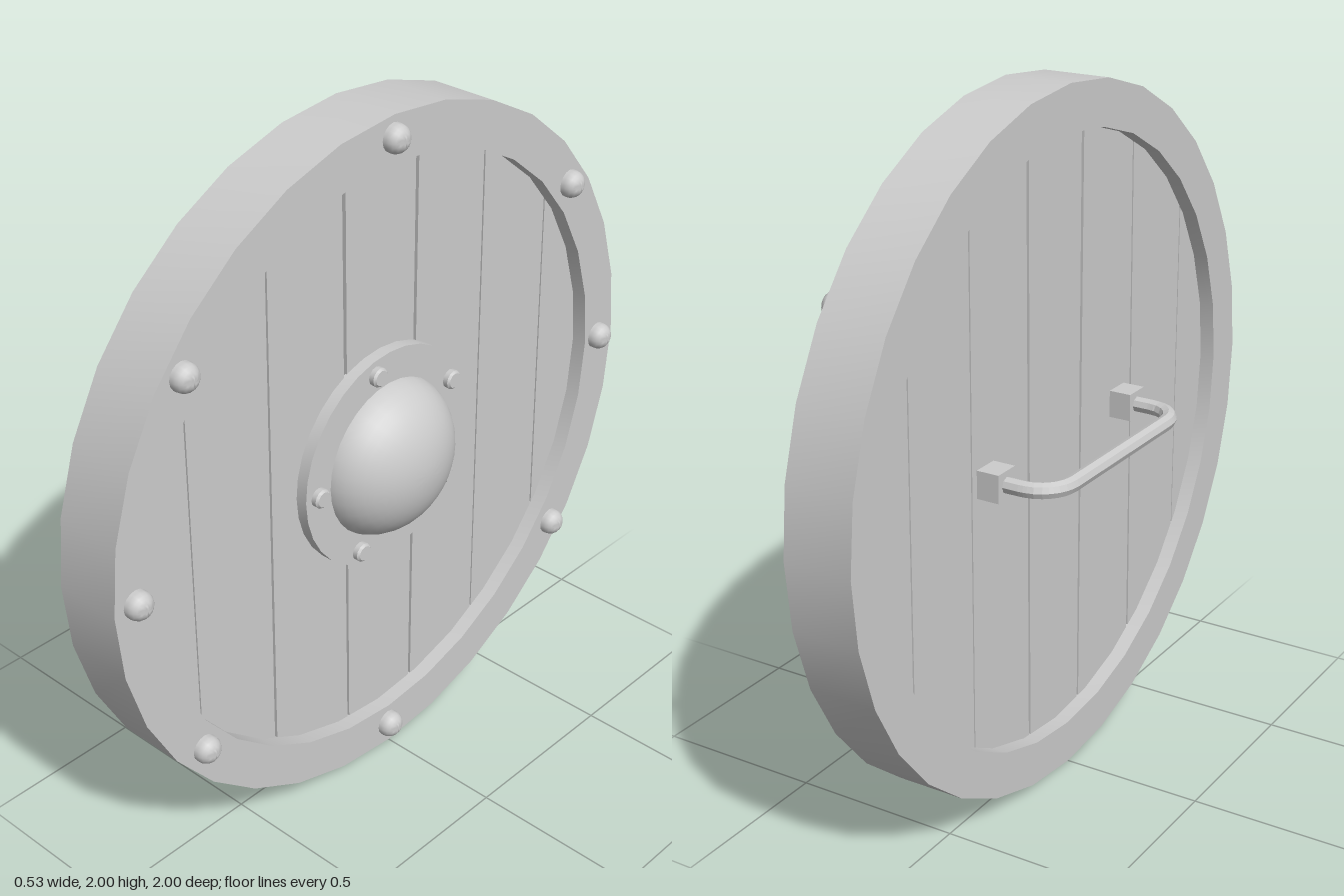
import * as THREE from 'three';
import { toCreasedNormals } from 'three/addons/utils/BufferGeometryUtils.js';

const grey = new THREE.MeshStandardMaterial({ color: 0xcccccc });
const greyFlat = new THREE.MeshStandardMaterial({ color: 0xcccccc, flatShading: true });

// Turned part: profile of [radius, depth] pairs, spun around the z axis
function turned(profile, sides, crease = 0.6) {
  const points = profile.map(([r, d]) => new THREE.Vector2(r, d));
  const geometry = new THREE.LatheGeometry(points, sides);
  geometry.rotateX(Math.PI / 2);
  return toCreasedNormals(geometry, crease);
}

// Quarter ellipse from the edge to the tip of a dome
function domeProfile(radius, base, height, steps) {
  return Array.from({ length: steps + 1 }, (_, i) => {
    const a = (i / steps) * Math.PI / 2;
    return [i === steps ? 0 : radius * Math.cos(a), base + height * Math.sin(a)];
  });
}

// Plank between two slightly slanted edges, its ends following the disc
function plankGeometry(left, right, radius, thickness) {
  const steps = 10;
  const end = (a, b, sign) => Array.from({ length: steps + 1 }, (_, i) => {
    const x = a + (b - a) * i / steps;
    return new THREE.Vector2(x, sign * Math.sqrt(Math.max(radius * radius - x * x, 1e-4)));
  });
  const outline = [...end(left[0], right[0], -1), ...end(right[1], left[1], 1)];
  return new THREE.ExtrudeGeometry(new THREE.Shape(outline), { depth: thickness, bevelEnabled: false });
}

export function createModel() {
  const model = new THREE.Group();
  // Built facing +z around the origin, then turned to face +x
  const shield = new THREE.Group();
  shield.name = 'shield';
  shield.position.y = 1;
  shield.rotation.y = Math.PI / 2;
  model.add(shield);

  const add = (name, geometry, x = 0, y = 0, z = 0, material = grey, parent = shield) => {
    const mesh = new THREE.Mesh(geometry, material);
    mesh.name = name;
    mesh.position.set(x, y, z);
    parent.add(mesh);
    return mesh;
  };

  // Rim
  add('rim', turned([[0.87, -0.08], [1, -0.08], [1, 0.12], [0.87, 0.12], [0.87, -0.08]], 32));

  // Planks, separated by gaps: [x at bottom, x at top, width at bottom, width at top]
  const R = 0.88;
  const gaps = [
    [-0.70, -0.705, 0.004, 0.005], [-0.425, -0.415, 0.009, 0.006], [-0.128, -0.138, 0.008, 0.013],
    [0.14, 0.14, 0.009, 0.012], [0.422, 0.414, 0.005, 0.006], [0.70, 0.688, 0.006, 0.005],
  ];
  const planks = new THREE.Group();
  planks.name = 'planks';
  shield.add(planks);
  for (let i = 0; i <= gaps.length; i++) {
    const l = gaps[i - 1], r = gaps[i];
    const left = l ? [l[0] + l[2] / 2, l[1] + l[3] / 2] : [-R, -R];
    const right = r ? [r[0] - r[2] / 2, r[1] - r[3] / 2] : [R, R];
    add('plank', plankGeometry(left, right, R, 0.11), 0, 0, -0.035, grey, planks);
  }

  // Boss: flange and dome
  add('bossFlange', turned([[0.2, 0.07], [0.325, 0.07], [0.325, 0.11], [0.2, 0.11]], 32));
  add('bossDome', turned(domeProfile(0.235, 0.08, 0.18, 12), 32));

  // Small rivets on the flange
  const stud = turned([[0.028, 0], [0.028, 0.02], [0.022, 0.026], [0, 0.026]], 12);
  for (const [x, y] of [[-0.053, 0.275], [0.25, 0.14], [0.23, -0.16], [-0.117, -0.255], [-0.277, 0]]) {
    add('flangeRivet', stud, x, y, 0.105);
  }

  // Large rivets around the rim
  const rivet = turned([[0.04, -0.01], ...domeProfile(0.04, 0.01, 0.035, 6)], 16);
  const rivetSpots = [
    [-0.005, 0.94], [-0.743, 0.57], [-0.93, 0.01], [-0.733, -0.57],
    [-0.005, -0.93], [0.74, -0.575], [0.925, 0.01], [0.74, 0.57],
  ];
  for (const [x, y] of rivetSpots) add('rimRivet', rivet, x, y, 0.12);

  // Handle on the back: two mounting blocks and a bent bar
  const handle = new THREE.Group();
  handle.name = 'handle';
  handle.position.set(0.007, 0.015, 0);
  shield.add(handle);
  const half = 0.347, back = -0.243, bend = 0.09;
  const path = [[-half, -0.09], [-half, back + bend]];
  for (let i = 1; i <= 5; i++) {
    const a = (i / 5) * Math.PI / 2;
    path.push([-half + bend * (1 - Math.cos(a)), back + bend * (1 - Math.sin(a))]);
  }
  path.push(...path.slice().reverse().map(([x, z]) => [-x, z]));
  const curve = new THREE.CurvePath();
  for (let i = 1; i < path.length; i++) {
    const [a, b] = [path[i - 1], path[i]].map(([x, z]) => new THREE.Vector3(x, 0, z));
    curve.add(new THREE.LineCurve3(a, b));
  }
  add('grip', new THREE.TubeGeometry(curve, 80, 0.023, 8), 0, 0, 0, greyFlat, handle);
  for (const side of [-1, 1]) {
    add('mountingBlock', new THREE.BoxGeometry(0.08, 0.08, 0.07), side * half, 0, -0.067, grey, handle);
  }

  return model;
}
